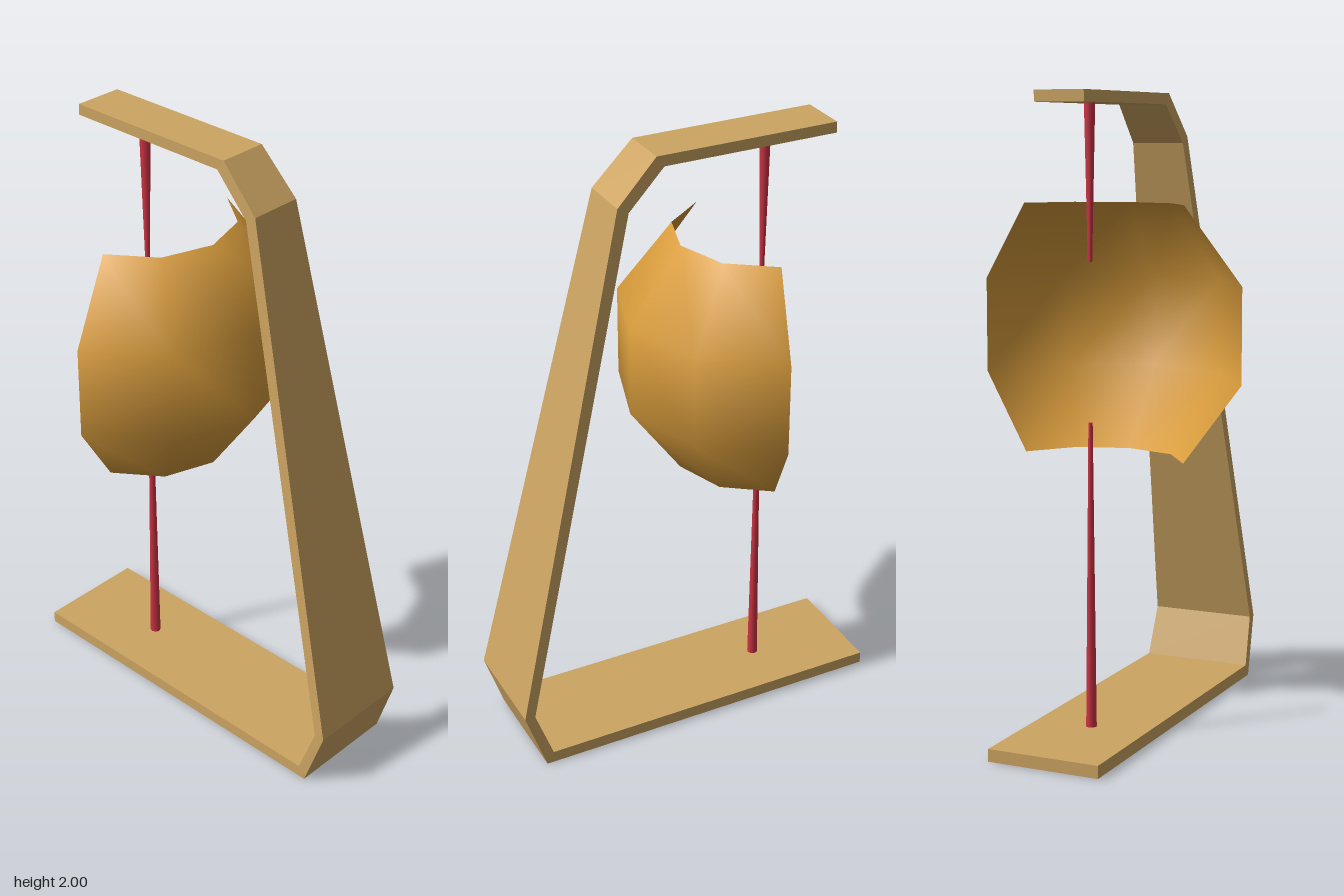
import * as THREE from 'three';

const wood = new THREE.MeshStandardMaterial({ color: 0xcca462, flatShading: true });
const shellMat = new THREE.MeshStandardMaterial({ color: 0xd89c3c, side: THREE.DoubleSide });
const red = new THREE.MeshStandardMaterial({ color: 0xcc3344 });

const AXIS_Z = -0.297; // pins and shell share this vertical axis

// C-shaped stand: [outer z, outer y, inner z, inner y, half width] per station
const STATIONS = [
  [-0.629, 0, -0.629, 0.04, 0.184],
  [0.569, 0, 0.545, 0.04, 0.185],
  [0.636, 0.2, 0.601, 0.2, 0.177],
  [0.237, 1.865, 0.201, 1.845, 0.088],
  [0.106, 2, 0.081, 1.965, 0.081],
  [-0.4985, 2, -0.4985, 1.965, 0.081],
];

function standGeometry() {
  const rings = STATIONS.map(([oz, oy, iz, iy, w]) => [
    [w, oy, oz], [-w, oy, oz], [-w, iy, iz], [w, iy, iz],
  ]);
  const pos = [];
  const quad = (a, b, c, d) => pos.push(...a, ...b, ...c, ...a, ...c, ...d);
  for (let s = 0; s < rings.length - 1; s++) {
    const r = rings[s], n = rings[s + 1];
    for (let i = 0; i < 4; i++) {
      const j = (i + 1) % 4;
      quad(r[j], r[i], n[i], n[j]);
    }
  }
  // end caps
  quad(...rings[0]);
  quad(...rings[rings.length - 1].slice().reverse());
  const g = new THREE.BufferGeometry();
  g.setAttribute('position', new THREE.Float32BufferAttribute(pos, 3));
  g.computeVertexNormals();
  return g;
}

// Tapered pin between two heights, thin at the tip
function pin(name, yRoot, yTip) {
  const up = yTip > yRoot;
  const rTip = 0.007, rRoot = 0.018;
  const g = new THREE.CylinderGeometry(up ? rTip : rRoot, up ? rRoot : rTip, Math.abs(yTip - yRoot), 8);
  const m = new THREE.Mesh(g, red);
  m.name = name;
  m.position.set(0, (yRoot + yTip) / 2, AXIS_Z);
  return m;
}

export function createModel() {
  const body = new THREE.Group();
  body.name = 'standAssembly';

  const stand = new THREE.Mesh(standGeometry(), wood);
  stand.name = 'stand';
  body.add(stand);

  // open shell: a patch of a coarse sphere, four segments wide and three high
  const step = Math.PI / 5;
  const shell = new THREE.Mesh(
    new THREE.SphereGeometry(0.484, 4, 3, step / 2, step * 4, step, step * 3),
    shellMat
  );
  shell.name = 'shell';
  shell.position.set(0, 1.27, AXIS_Z);
  body.add(shell);

  body.add(pin('lowerPin', -0.001, 1.0), pin('upperPin', 1.975, 1.49));

  // the whole stand is turned to the diagonal
  body.rotation.y = Math.PI / 4;

  const model = new THREE.Group();
  model.name = 'globeStand';
  model.add(body);
  return model;
}
